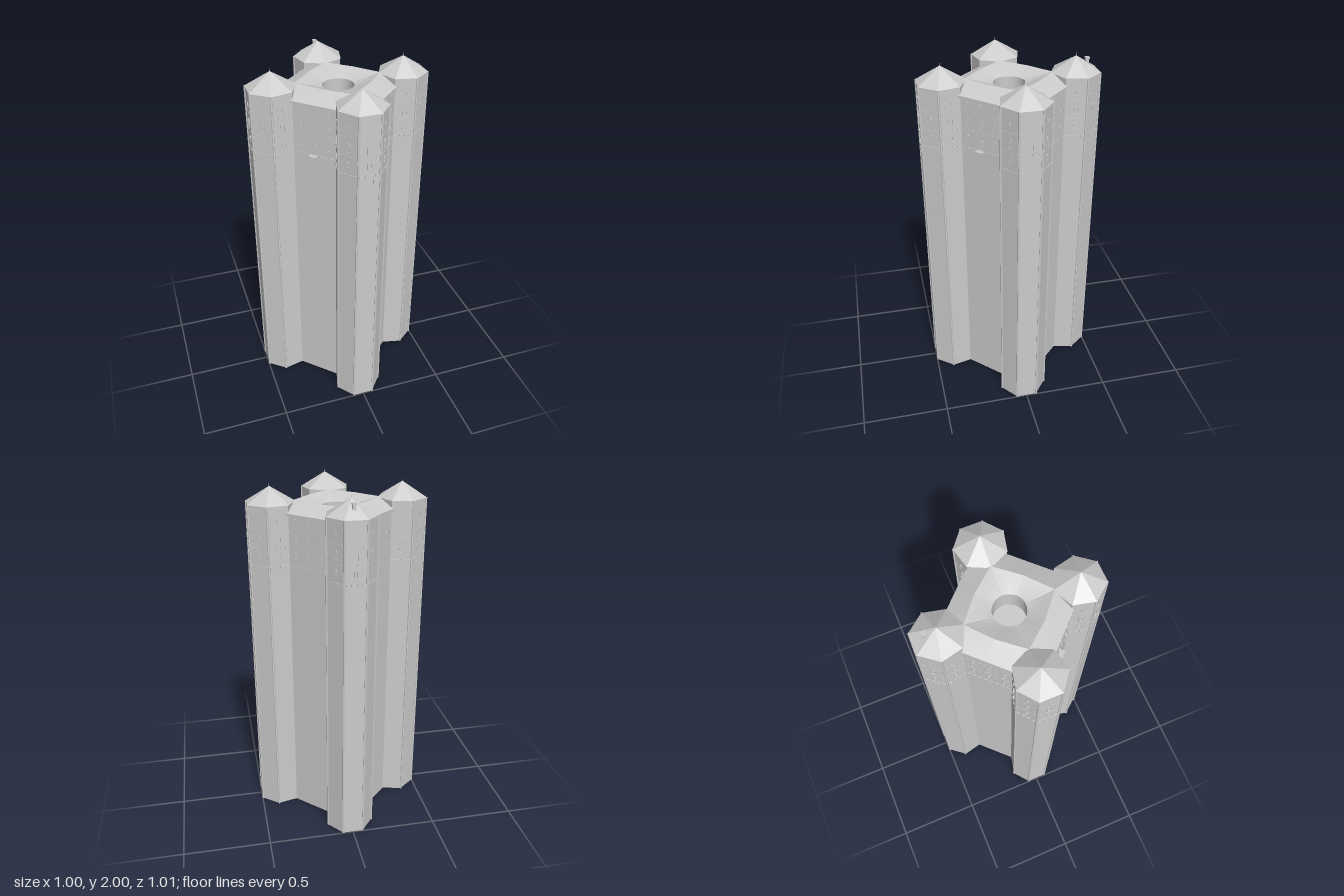
import * as THREE from 'three';

const R = 0.138, DIST = 0.372, SIDES = 7, STEP = (Math.PI * 2) / SIDES;
const APOTHEM = R * Math.cos(STEP / 2), WALL_DIST = 0.394 / Math.SQRT2;
const EAVE = 1.845, TOWER_TOP = 1.9;
const mat = new THREE.MeshStandardMaterial({ color: 0xcccccc, flatShading: true, side: THREE.DoubleSide });

function add(parent, name, geometry, x = 0, y = 0, z = 0) {
  const mesh = new THREE.Mesh(geometry, mat);
  mesh.name = name;
  mesh.position.set(x, y, z);
  parent.add(mesh);
  return mesh;
}

function pivot(parent, name, angle, z = 0) {
  const g = new THREE.Group();
  g.name = name;
  g.rotation.y = angle;
  g.position.z = z;
  parent.add(g);
  return g;
}

// Plan outline: outer sides of the four towers joined by diagonal walls
function outline() {
  const pts = [];
  for (let k = 0; k < 4; k++) {
    for (let j = -2.5; j <= 2.5; j++) {
      const p = new THREE.Vector2(DIST + R * Math.cos(j * STEP), R * Math.sin(j * STEP));
      pts.push(p.rotateAround(new THREE.Vector2(), (k * Math.PI) / 2));
    }
  }
  return pts;
}

// Move every edge of a counter-clockwise polygon inwards by d
function inset(pts, d) {
  return pts.map((p, i) => {
    const a = p.clone().sub(pts[(i + pts.length - 1) % pts.length]).normalize();
    const b = pts[(i + 1) % pts.length].clone().sub(p).normalize();
    const n = new THREE.Vector2(-a.y - b.y, a.x + b.x).normalize();
    return p.clone().addScaledVector(n, d / (-a.y * n.x + a.x * n.y));
  });
}

function shellGeometry() {
  const pts = outline();
  const shape = new THREE.Shape(pts);
  shape.holes.push(new THREE.Path(inset(pts, 0.008)));
  return new THREE.ExtrudeGeometry(shape, { depth: EAVE, bevelEnabled: false }).rotateX(-Math.PI / 2);
}

// Surface through rings given as [radius by angle, height]
function loft(rings, n) {
  const pos = [];
  const at = (i, k) => {
    const t = (k / n) * Math.PI * 2, r = rings[i][0](t);
    return [r * Math.cos(t), rings[i][1], r * Math.sin(t)];
  };
  for (let i = 0; i < rings.length - 1; i++) {
    for (let k = 0; k < n; k++) {
      const a = at(i, k), b = at(i, k + 1), c = at(i + 1, k), d = at(i + 1, k + 1);
      pos.push(...a, ...c, ...b, ...b, ...c, ...d);
    }
  }
  const g = new THREE.BufferGeometry();
  g.setAttribute('position', new THREE.Float32BufferAttribute(pos, 3));
  g.computeVertexNormals();
  return g;
}

const diamond = (r) => (t) => r / (Math.abs(Math.cos(t)) + Math.abs(Math.sin(t)));
const circle = (r) => () => r;
const ridge = (t) => {
  const c = Math.abs(Math.cos(t)), s = Math.abs(Math.sin(t));
  return 1 / (Math.max(c, s) / 0.24 + Math.min(c, s) * 3.526);
};

// Round-headed outline standing on y = 0
function arch(path, w, h, y = 0) {
  path.moveTo(-w / 2, y);
  path.lineTo(w / 2, y);
  path.lineTo(w / 2, h - w / 2);
  path.absarc(0, h - w / 2, w / 2, 0, Math.PI, false);
  path.lineTo(-w / 2, y);
  return path;
}

function windowGeometry(w, h) {
  const shape = arch(new THREE.Shape(), w, h);
  shape.holes.push(arch(new THREE.Path(), w - 0.008, h - 0.004, 0.004));
  return new THREE.ExtrudeGeometry(shape, { depth: 0.004, bevelEnabled: false, curveSegments: 6 });
}

const slit = windowGeometry(0.014, 0.024);
const tall = windowGeometry(0.026, 0.052);
const low = windowGeometry(0.022, 0.036);
const door = windowGeometry(0.03, 0.06);
const dash = new THREE.BoxGeometry(0.015, 0.006, 0.005);
const corbel = new THREE.BoxGeometry(0.018, 0.01, 0.009);

// Broken string courses across one face
function courses(face, width, z) {
  const n = Math.round(width / 0.03);
  for (let i = 0; i < n; i++) {
    const x = ((i + 0.5) / n - 0.5) * width;
    add(face, 'corbel', corbel, x, 1.565, z);
    for (const y of [1.67, 1.775]) add(face, 'stringCourse', dash, x, y, z);
  }
}

function windows(face, x, z, withLow = true) {
  add(face, 'slitWindow', slit, x, 1.808, z);
  add(face, 'tallWindow', tall, x, 1.69, z);
  if (withLow) add(face, 'lowWindow', low, x, 1.607, z);
}

function buildTower(parent, angle) {
  const tower = pivot(pivot(parent, 'tower', angle), 'towerBody', 0, DIST);
  const half = STEP / 2;
  add(tower, 'towerHead',
    new THREE.CylinderGeometry(R, R, TOWER_TOP - EAVE, SIDES, 1, true, half), 0, (EAVE + TOWER_TOP) / 2);
  add(tower, 'towerRoof', new THREE.ConeGeometry(R + 0.003, 0.086, SIDES, 1, false, half), 0, TOWER_TOP + 0.043);
  add(tower, 'finial', new THREE.CylinderGeometry(0.001, 0.002, 0.03, 5), 0, 1.985);
  for (let j = -2; j <= 2; j++) {
    const face = pivot(tower, 'towerFace', j * STEP);
    windows(face, 0, APOTHEM);
    courses(face, 0.115, APOTHEM);
  }
  // Slim shafts on the outer corners
  for (const j of [-1.5, -0.5, 0.5, 1.5]) {
    add(tower, 'cornerShaft', new THREE.CylinderGeometry(0.006, 0.006, TOWER_TOP, 6),
      R * Math.sin(j * STEP), TOWER_TOP / 2, R * Math.cos(j * STEP));
  }
  return tower;
}

function buildWall(parent, angle, hasBalcony) {
  const wall = pivot(parent, 'wallDetails', angle);
  for (const x of [-0.085, 0, 0.085]) windows(wall, x, WALL_DIST, !(hasBalcony && x === 0));
  courses(wall, 0.245, WALL_DIST);
  if (hasBalcony) {
    add(wall, 'balconyDoor', door, 0, 1.57, WALL_DIST);
    add(wall, 'balcony', new THREE.BoxGeometry(0.045, 0.008, 0.03), 0, 1.566, WALL_DIST + 0.015);
  }
}

export function createModel() {
  const model = new THREE.Group();
  model.name = 'castleKeep';
  add(model, 'outerShell', shellGeometry());

  // Roof: eave, outer slope, ridge, funnel and central well
  add(model, 'mainRoof', loft([
    [diamond(0.392), EAVE], [diamond(0.408), EAVE], [diamond(0.408), 1.857],
    [ridge, 1.905], [circle(0.087), 1.865],
  ], 64));
  add(model, 'wellWall', new THREE.CylinderGeometry(0.087, 0.087, 0.115, 32, 1, true), 0, 1.8075);
  add(model, 'wellFloor', new THREE.CircleGeometry(0.087, 32).rotateX(-Math.PI / 2), 0, 1.75);

  for (let k = 0; k < 4; k++) {
    const tower = buildTower(model, (k * Math.PI) / 2);
    if (k === 0) {
      add(tower, 'wallLantern', new THREE.BoxGeometry(0.02, 0.036, 0.008), 0.032, 1.53, APOTHEM + 0.003);
    }
    if (k === 2) {
      add(tower, 'chimney', new THREE.BoxGeometry(0.018, 0.06, 0.018), 0, 1.935, 0.063);
      add(tower, 'chimneyCap', new THREE.BoxGeometry(0.024, 0.01, 0.024), 0, 1.968, 0.063);
    }
    // Only the two front walls carry balconies
    buildWall(model, Math.PI / 4 + (k * Math.PI) / 2, k === 0 || k === 3);
  }
  return model;
}
